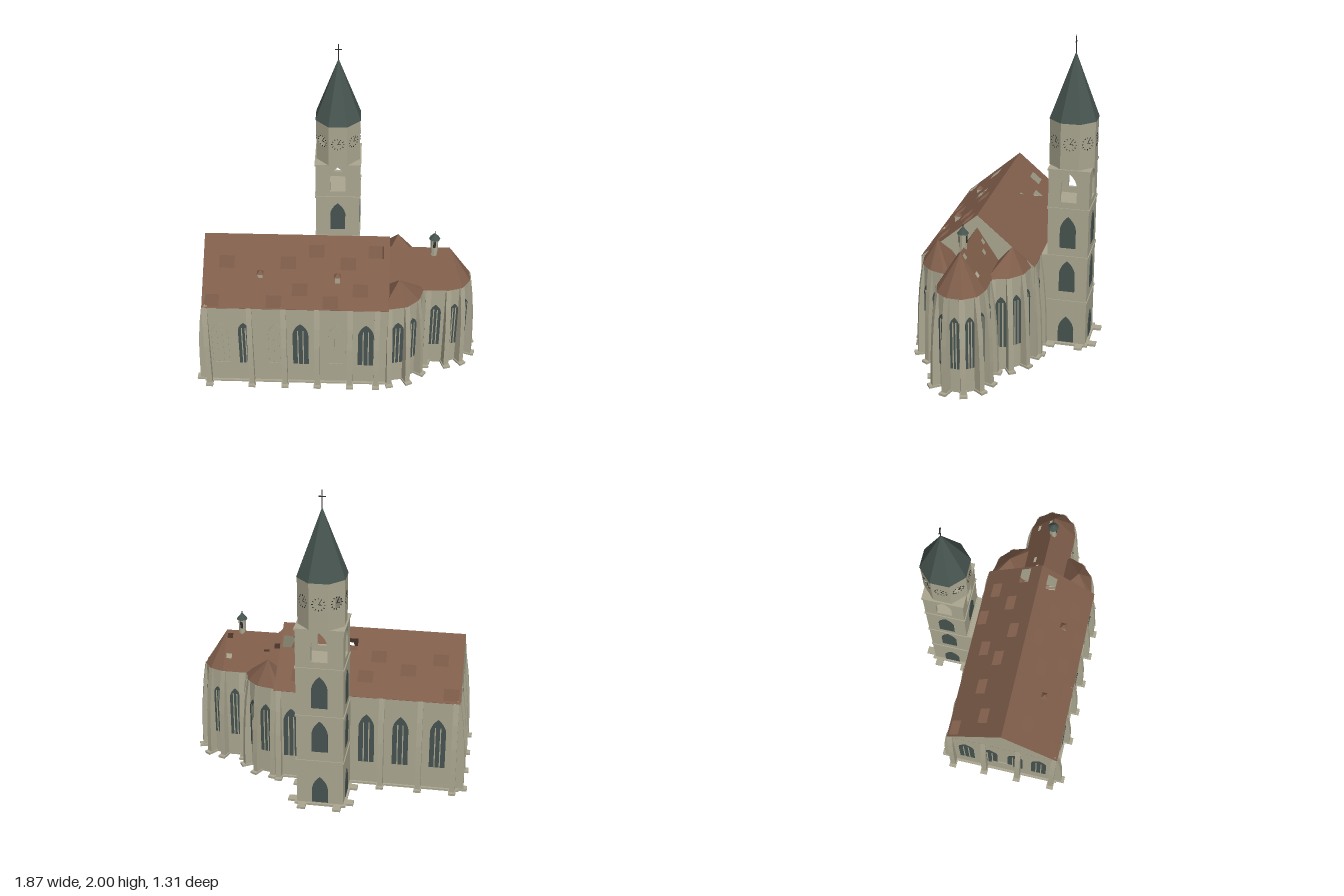
import * as THREE from 'three';

const mat = (name, color) => Object.assign(new THREE.MeshStandardMaterial({ color }), { name, side: THREE.DoubleSide, flatShading: true });
const stone = mat('stone', 0xaaa690);
const tile = mat('roof tile', 0x7f5d4a);
const slate = mat('slate', 0x46544f);
const glass = mat('window glass', 0x465350);
const iron = mat('iron', 0x2c2f2d);

const EAVE = 0.62, MID = 0.083;           // eave height, church axis in z
const NAVE = { x0: -0.83, x1: 0.34, hw: 0.363, ridge: 0.93 };
const CHOIR = { x0: 0.33, x1: 0.72, hw: 0.15, ridge: 0.85 };
const TOWER = { x: -0.003, z: -0.445, w: 0.29, d: 0.255, r: 0.152 };

export function createModel() {
  const root = new THREE.Group();
  root.name = 'church';
  const church = new THREE.Group();
  church.name = 'churchBody';
  church.rotation.y = 0.185;
  root.add(church);

  function add(name, geo, material, x = 0, y = 0, z = 0, ang = 0, parent = church) {
    const m = new THREE.Mesh(geo, material);
    m.name = name;
    m.position.set(x, y, z);
    m.rotation.y = ang;
    parent.add(m);
    return m;
  }
  const box = (w, h, d) => new THREE.BoxGeometry(w, h, d);
  const extrude = (shape, depth) => new THREE.ExtrudeGeometry(shape, { depth, bevelEnabled: false, curveSegments: 6 });

  // Vertical prism over a ground plan of [x, z] points
  function prism(name, pts, y0, y1, material) {
    const s = new THREE.Shape(pts.map(([x, z]) => new THREE.Vector2(x, -z)));
    add(name, extrude(s, y1 - y0).rotateX(-Math.PI / 2), material, 0, y0, 0);
  }

  // Pointed arch outline
  function arch(w, h, y = 0, C = THREE.Shape) {
    const s = new C(), a = w / 2, k = y + h - w * 0.85;
    s.moveTo(-a, y);
    s.lineTo(a, y);
    s.lineTo(a, k);
    s.quadraticCurveTo(a * 0.85, k + w * 0.5, 0, y + h);
    s.quadraticCurveTo(-a * 0.85, k + w * 0.5, -a, k);
    s.closePath();
    return s;
  }

  // Arched window; local +z is outward
  function lancet(x, z, ang, w = 0.1, y = 0.16, h = 0.34, lights = 3, material = glass) {
    const g = new THREE.Group();
    g.name = 'window';
    g.position.set(x, y, z);
    g.rotation.y = ang;
    church.add(g);
    add('pane', extrude(arch(w, h), 0.004), material, 0, 0, 0, 0, g);
    for (let i = 1; i < lights; i++)
      add('mullion', box(0.007, h - w * 0.55, 0.006), stone, -w / 2 + w * i / lights, (h - w * 0.55) / 2, 0.003, 0, g);
  }

  // Blind window: a raised outline with mullions
  function blindWindow(x, z, ang, w = 0.11) {
    const s = arch(w, 0.34);
    s.holes.push(arch(w - 0.01, 0.33, 0.005, THREE.Path));
    add('blindWindowFrame', extrude(s, 0.004), stone, x, 0.16, z, ang);
    for (const o of [-w / 6, w / 6])
      add('blindMullion', box(0.006, 0.28, 0.006), stone, x + o * Math.cos(ang), 0.3, z - o * Math.sin(ang), ang);
  }

  // Curved tapering buttress with a foot plate
  const profile = new THREE.Shape([[-0.02, 0], [0.046, 0], [0.043, 0.15], [0.036, 0.32], [0.022, 0.48], [0.002, EAVE], [-0.02, EAVE]]
    .map(p => new THREE.Vector2(...p)));
  const buttressGeo = extrude(profile, 0.034).rotateY(-Math.PI / 2).translate(0.017, 0, 0);
  const footGeo = box(0.046, 0.014, 0.09).translate(0, 0.007, 0.022);
  function buttress(x, z, ang) {
    add('buttress', buttressGeo, stone, x, 0, z, ang);
    add('buttressFoot', footGeo, stone, x, 0, z, ang);
  }

  // Roof slope with rectangular openings; side +1 is front, -1 is back
  function slope(name, r, side, holes, hw, hh) {
    const rise = r.ridge - EAVE, L = Math.hypot(rise, r.hw);
    const rect = (C, x0, x1, y0, y1) => new C([[x0, y0], [x1, y0], [x1, y1], [x0, y1]].map(p => new THREE.Vector2(...p)));
    const s = rect(THREE.Shape, r.x0, r.x1, 0, L);
    for (const [x, z] of holes) {
      const t = (r.hw - Math.abs(z - MID)) / r.hw * L;
      s.holes.push(rect(THREE.Path, x - hw, x + hw, Math.max(0.008, t - hh), t + hh));
    }
    const X = new THREE.Vector3(1, 0, 0), Y = new THREE.Vector3(0, rise, -side * r.hw).normalize();
    const M = new THREE.Matrix4().makeBasis(X, Y, X.clone().cross(Y)).setPosition(0, EAVE, MID + side * r.hw);
    add(name, new THREE.ShapeGeometry(s).applyMatrix4(M), tile);
  }

  // Faceted roof from an apex to an open line of eave points
  function fan(name, apex, pts) {
    const v = [];
    for (let i = 0; i + 1 < pts.length; i++)
      v.push(...apex, pts[i][0], EAVE, pts[i][1], pts[i + 1][0], EAVE, pts[i + 1][1]);
    const g = new THREE.BufferGeometry();
    g.setAttribute('position', new THREE.Float32BufferAttribute(v, 3));
    g.computeVertexNormals();
    add(name, g, tile);
  }

  // Windows on each wall of a plan line and buttresses at its corners
  function dress(pts, wFrac) {
    const angs = [];
    for (let i = 0; i + 1 < pts.length; i++) {
      const [a, b] = [pts[i], pts[i + 1]], dx = b[0] - a[0], dz = b[1] - a[1];
      angs.push(Math.atan2(-dz, dx));
      lancet((a[0] + b[0]) / 2, (a[1] + b[1]) / 2, angs[i], Math.hypot(dx, dz) * wFrac, 0.16, 0.34, 3);
    }
    pts.forEach((p, i) => buttress(p[0], p[1], i === 0 ? angs[0] : i === angs.length ? angs[i - 1] : (angs[i - 1] + angs[i]) / 2));
  }

  // Nave walls, gables and attic floor
  const zf = MID + NAVE.hw, zb = MID - NAVE.hw, { x0, x1 } = NAVE;
  const navePlan = [[x0, zf], [x1, zf], [x1, zb], [x0, zb]];
  prism('naveWalls', navePlan, 0, EAVE - 0.002, stone);
  prism('naveBase', [[x0 - 0.015, zf + 0.015], [x1, zf + 0.015], [x1, zb - 0.015], [x0 - 0.015, zb - 0.015]], 0, 0.012, stone);
  prism('atticFloor', navePlan, EAVE - 0.002, EAVE, tile);
  const gable = new THREE.Shape([[-NAVE.hw, 0], [NAVE.hw, 0], [0, NAVE.ridge - EAVE - 0.003]].map(p => new THREE.Vector2(...p)));
  for (const x of [x0, x1 - 0.01]) add('gable', extrude(gable, 0.01), stone, x, EAVE, MID, Math.PI / 2);

  // Nave roof with skylight openings
  slope('naveRoofFront', NAVE, 1, [[-0.682, 0.221], [-0.296, 0.221], [0.08, 0.221], [-0.12, 0.162], [0.255, 0.162],
    [-0.22, 0.35], [0.16, 0.35], [-0.77, 0.41], [-0.38, 0.41], [-0.026, 0.41]], 0.048, 0.04);
  slope('naveRoofBack', NAVE, -1, [[-0.77, -0.237], [-0.688, -0.064], [-0.491, -0.127], [-0.298, -0.066], [-0.227, -0.173],
    [-0.108, -0.01], [-0.004, -0.24], [0.089, -0.073], [0.191, -0.194], [0.278, -0.019]], 0.048, 0.04);

  // Nave windows and buttresses
  for (const [x, w] of [[-0.575, 0.07], [-0.215, 0.1], [0.2, 0.1]]) lancet(x, zf, 0, w);
  for (const x of [-0.73, -0.37, 0.015]) blindWindow(x, zf, 0);
  for (const x of [-0.7, -0.465, -0.25, 0.23]) lancet(x, zb, Math.PI);
  for (const z of [-0.16, 0, 0.17, 0.33]) lancet(x0, z, -Math.PI / 2);
  add('portal', box(0.15, 0.1, 0.012), stone, x0, 0.16, MID, -Math.PI / 2);
  for (const x of [-0.812, -0.535, -0.32, -0.11, 0.1, 0.27]) buttress(x, zf, 0);
  for (const x of [-0.805, -0.586, -0.345, 0.17, 0.31]) buttress(x, zb, Math.PI);
  for (const z of [-0.26, -0.04, 0.19, 0.425]) buttress(x0, z, -Math.PI / 2);

  // Roof dormer turrets
  for (const [x, z] of [[-0.469, 0.279], [0.016, 0.298]]) {
    add('dormer', box(0.03, 0.05, 0.035), stone, x, 0.75, z);
    add('dormerRoof', new THREE.ConeGeometry(0.03, 0.025, 4).rotateY(Math.PI / 4), tile, x, 0.787, z);
  }

  // Choir with polygonal apse
  const apse = [90, 54, 18, -18, -54, -90].map(d => {
    const a = d * Math.PI / 180;
    return [CHOIR.x1 + Math.cos(a) * CHOIR.hw, MID + Math.sin(a) * CHOIR.hw];
  });
  const choirPlan = [[0.3, MID + CHOIR.hw], ...apse, [0.3, MID - CHOIR.hw]];
  prism('choirWalls', choirPlan, 0, EAVE, stone);
  dress(apse, 0.6);
  slope('choirRoofFront', CHOIR, 1, [], 0, 0);
  slope('choirRoofBack', CHOIR, -1, [[0.378, 0.036], [0.445, 0.012], [0.69, -0.011], [0.695, 0.062]], 0.018, 0.016);
  fan('apseRoof', [CHOIR.x1, CHOIR.ridge, MID], apse);
  for (const s of [1, -1]) {
    lancet(0.645, MID + s * CHOIR.hw, s > 0 ? 0 : Math.PI, 0.07);
    buttress(0.595, MID + s * CHOIR.hw, s > 0 ? 0 : Math.PI);
  }

  // Polygonal side chapels, mirrored across the axis
  for (const s of [1, -1]) {
    const m = ([x, z]) => [x, MID + s * (z - MID)];
    const outer = [[0.345, 0.425], [0.455, 0.4], [0.53, 0.33], [0.56, 0.235]].map(m);
    const inner = [[0.56, 0.2], [0.3, 0.2], [0.3, 0.425]].map(m);
    prism('chapelWalls', [...outer, ...inner], 0, EAVE, stone);
    dress(s > 0 ? outer : [...outer].reverse(), 0.68);
    fan('chapelRoof', [0.4, 0.77, m([0, 0.318])[1]], [...outer, ...inner, outer[0]]);
  }

  // Ridge turret on the choir
  add('ridgeTurret', new THREE.CylinderGeometry(0.024, 0.024, 0.13, 8), stone, 0.62, 0.87, MID + 0.01);
  add('turretOpening', box(0.016, 0.045, 0.05), iron, 0.62, 0.895, MID + 0.01);
  add('turretRoof', new THREE.ConeGeometry(0.036, 0.045, 8), slate, 0.62, 0.952, MID + 0.01);
  add('turretFinial', box(0.004, 0.02, 0.004), iron, 0.62, 0.975, MID + 0.01);

  // Tower shaft with string courses
  const T = TOWER;
  add('towerShaft', box(T.w, 0.94, T.d), stone, T.x, 0.47, T.z);
  add('towerLink', box(T.w, EAVE, 0.08), stone, T.x, EAVE / 2, zb - 0.02);
  add('towerBase', box(T.w + 0.03, 0.014, T.d + 0.03), stone, T.x, 0.007, T.z);
  for (const y of [0.31, 0.62, 0.94, 1.192]) add('stringCourse', box(T.w + 0.012, 0.012, T.d + 0.012), stone, T.x, y, T.z);
  for (const sx of [-1, 1]) {
    add('towerFoot', box(0.05, 0.014, 0.09), stone, T.x + sx * 0.11, 0.007, T.z - T.d / 2 - 0.02);
    for (const sz of [-1, 1]) add('towerFoot', box(0.09, 0.014, 0.05), stone, T.x + sx * (T.w / 2 + 0.015), 0.007, T.z + sz * 0.09);
  }

  // Tower sides: windows and an open belfry
  for (let i = 0; i < 4; i++) {
    const ang = i * Math.PI / 2, wide = i % 2 ? T.d : T.w, off = (i % 2 ? T.w : T.d) / 2;
    const x = T.x + Math.sin(ang) * off, z = T.z + Math.cos(ang) * off;
    for (const y of [0.02, 0.38, 0.68]) lancet(x, z, ang, 0.1, y, y < 0.1 ? 0.18 : 0.21, 1);
    const wall = new THREE.Shape([[-wide / 2, 0], [wide / 2, 0], [wide / 2, 0.25], [-wide / 2, 0.25]].map(p => new THREE.Vector2(...p)));
    wall.holes.push(arch(0.1, 0.19, 0.045, THREE.Path));
    add('belfryWall', extrude(wall, 0.02).translate(0, 0, -0.02), stone, x, 0.94, z, ang);
  }

  // Octagonal clock stage; two western faces are pierced
  const half = T.r * Math.sin(Math.PI / 8), apo = T.r * Math.cos(Math.PI / 8);
  for (let i = 0; i < 8; i++) {
    const f = new THREE.Group();
    f.name = 'clockFace';
    f.position.set(T.x, 1.195, T.z);
    f.rotation.y = i * Math.PI / 4;
    church.add(f);
    const wall = new THREE.Shape([[-half, 0], [half, 0], [half, 0.295], [-half, 0.295]].map(p => new THREE.Vector2(...p)));
    if (i === 7 || i === 5) wall.holes.push(new THREE.Path().absarc(0, 0.165, 0.04, 0, Math.PI * 2, true));
    add('clockWall', extrude(wall, 0.006), stone, 0, 0, apo - 0.006, 0, f);
    for (let k = 0; k < 12; k++) {
      const a = k * Math.PI / 6;
      add('hourMark', box(0.004, 0.009, 0.004), iron, Math.sin(a) * 0.037, 0.165 + Math.cos(a) * 0.037, apo, 0, f).rotation.z = -a;
    }
    add('minuteHand', box(0.003, 0.03, 0.004), iron, 0.007, 0.178, apo, 0, f).rotation.z = -0.5;
    add('hourHand', box(0.02, 0.003, 0.004), iron, 0.01, 0.165, apo, 0, f);
  }

  // Spire and cross
  add('spire', new THREE.ConeGeometry(T.r + 0.004, 0.41, 8).rotateY(Math.PI / 8), slate, T.x, 1.695, T.z);
  add('crossPost', box(0.005, 0.11, 0.005), iron, T.x, 1.945, T.z);
  add('crossArm', box(0.042, 0.005, 0.005), iron, T.x, 1.962, T.z);
  return root;
}
